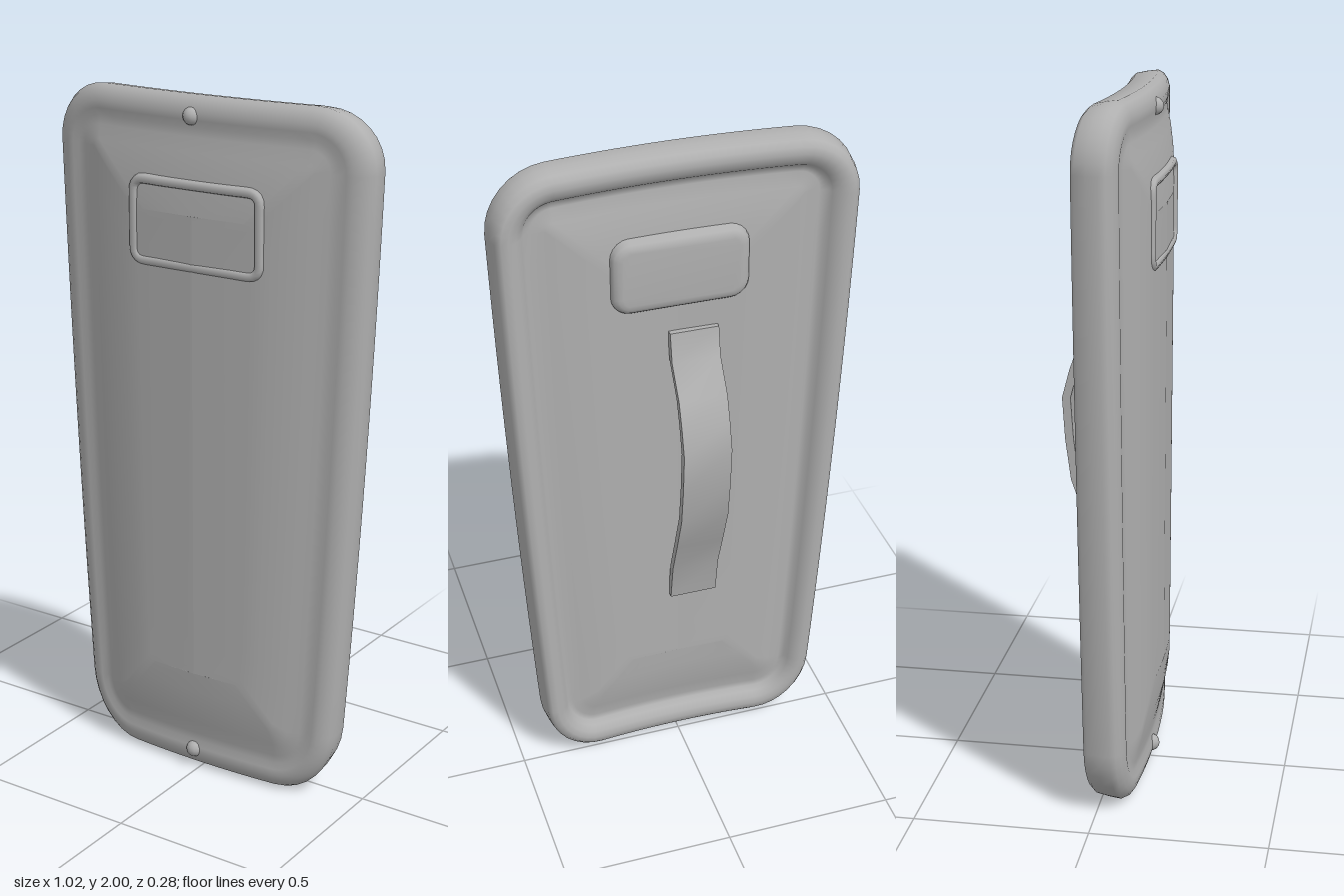
import * as THREE from 'three';
import { toCreasedNormals } from 'three/addons/utils/BufferGeometryUtils.js';

const grey = new THREE.MeshStandardMaterial({ color: 0xb0b0b0 });
grey.name = 'matte grey';

// Half width of the shield at a given height, and its sideways bow
const halfWidth = (y) => 0.415 + 0.075 * y - 0.0125 * y * y;
const bow = (x) => -0.17 * x * x;

// Rounded rectangle, counterclockwise, with evenly divided sides
function roundedLoop(w, h, radius, sideSteps, arcSteps) {
  const pts = [];
  const corners = [[1, -1], [1, 1], [-1, 1], [-1, -1]];
  corners.forEach(([sx, sy], k) => {
    const r = radius(sy);
    for (let i = 0; i <= arcSteps; i++) {
      const a = (k - 1 + i / arcSteps) * Math.PI / 2;
      pts.push([sx * (w - r) + r * Math.cos(a), sy * (h - r) + r * Math.sin(a)]);
    }
    const [nx, ny] = corners[(k + 1) % 4];
    const n = radius(ny);
    const end = [nx * (w - n) + n * Math.cos(k * Math.PI / 2), ny * (h - n) + n * Math.sin(k * Math.PI / 2)];
    const start = pts[pts.length - 1];
    for (let i = 1; i < sideSteps; i++) {
      const t = i / sideSteps;
      pts.push([start[0] + (end[0] - start[0]) * t, start[1] + (end[1] - start[1]) * t]);
    }
  });
  return pts;
}

// Shield outline moved inwards by d, at depth z; squeeze 0 closes it on the centre line
function shieldRing(d, z, squeeze = 1) {
  const radius = (sy) => Math.max((sy > 0 ? 0.17 : 0.2) - d, 0.02);
  return roundedLoop(0.5 - d, 1 - d, radius, 14, 8).map(([u, v]) => {
    const y = v + 1;
    const x = u * halfWidth(y) / 0.5 * squeeze;
    return [x, y, z + bow(x)];
  });
}

// Body: rings from the front centre, over the rim, to the back centre
function bodyGeometry() {
  const section = [
    [0.32, 0.135, 0], [0.32, 0.134], [0.26, 0.13], [0.2, 0.123], [0.15, 0.114], [0.11, 0.106],
    [0.085, 0.104], [0.065, 0.109], [0.045, 0.11], [0.025, 0.104], [0.009, 0.093], [0, 0.077],
    [0.004, 0.045], [0.011, 0.012], [0.025, -0.002], [0.045, -0.005], [0.065, -0.001], [0.082, 0.013],
    [0.092, 0.028], [0.11, 0.031], [0.15, 0.022], [0.2, 0.012], [0.26, 0.005], [0.32, 0.002], [0.32, 0.001, 0],
  ];
  const rings = section.map((s) => shieldRing(...s));
  const n = rings[0].length;
  const index = [];
  for (let j = 0; j < rings.length - 1; j++) {
    for (let i = 0; i < n; i++) {
      const a = j * n + i, d = j * n + (i + 1) % n;
      index.push(a, a + n, d + n, a, d + n, d);
    }
  }
  const g = new THREE.BufferGeometry();
  g.setAttribute('position', new THREE.Float32BufferAttribute(rings.flat(2), 3));
  g.setIndex(index);
  g.computeVertexNormals();
  return g;
}

// Soft raised bead around the front viewing panel
function frameGeometry() {
  const pts = roundedLoop(0.205, 0.113, () => 0.03, 6, 4)
    .map(([x, y]) => new THREE.Vector3(x + 0.005, y + 1.65, 0.124 - 0.1 * x * x));
  return new THREE.TubeGeometry(new THREE.CatmullRomCurve3(pts, true), 120, 0.015, 8, true);
}

// Low bevelled plate behind the viewing panel
function plateGeometry() {
  const shape = new THREE.Shape(roundedLoop(0.165, 0.08, () => 0.025, 2, 5)
    .map(([x, y]) => new THREE.Vector2(x, y)));
  const g = new THREE.ExtrudeGeometry(shape, {
    depth: 0.03, bevelThickness: 0.026, bevelSize: 0.03, bevelSegments: 4,
  });
  g.translate(-0.005, 1.66, 0);
  return toCreasedNormals(g, 0.9);
}

// Strap handle with flat end tabs: a bent strip, given as height and depth
function handleGeometry() {
  const path = [[1.47, -0.004], [1.385, -0.02], [1.295, -0.083], [1.22, -0.109], [1.14, -0.13],
    [1.02, -0.122], [0.9, -0.106], [0.78, -0.064], [0.67, -0.024], [0.55, -0.004]];
  const outer = path.map(([y, z]) => new THREE.Vector2(-z + 0.012, y));
  const inner = path.map(([y, z]) => new THREE.Vector2(-z - 0.012, y)).reverse();
  const g = new THREE.ExtrudeGeometry(new THREE.Shape([...outer, ...inner]), { depth: 0.14, bevelEnabled: false });
  g.rotateY(Math.PI / 2);
  g.translate(-0.113, 0, 0);
  return toCreasedNormals(g, 0.7);
}

export function createModel() {
  const group = new THREE.Group();
  group.name = 'shield';
  const add = (name, geometry) => {
    const mesh = new THREE.Mesh(geometry, grey);
    mesh.name = name;
    group.add(mesh);
    return mesh;
  };
  add('body', bodyGeometry());
  add('windowFrame', frameGeometry());
  add('windowBackPlate', plateGeometry());
  add('handle', handleGeometry());

  // Small nubs at the middle of the top and bottom rim
  for (const [name, y] of [['topNub', 1.945], ['bottomNub', 0.055]]) {
    const nub = add(name, new THREE.SphereGeometry(0.025, 12, 8));
    nub.position.set(-0.02, y, 0.102);
  }
  return group;
}
